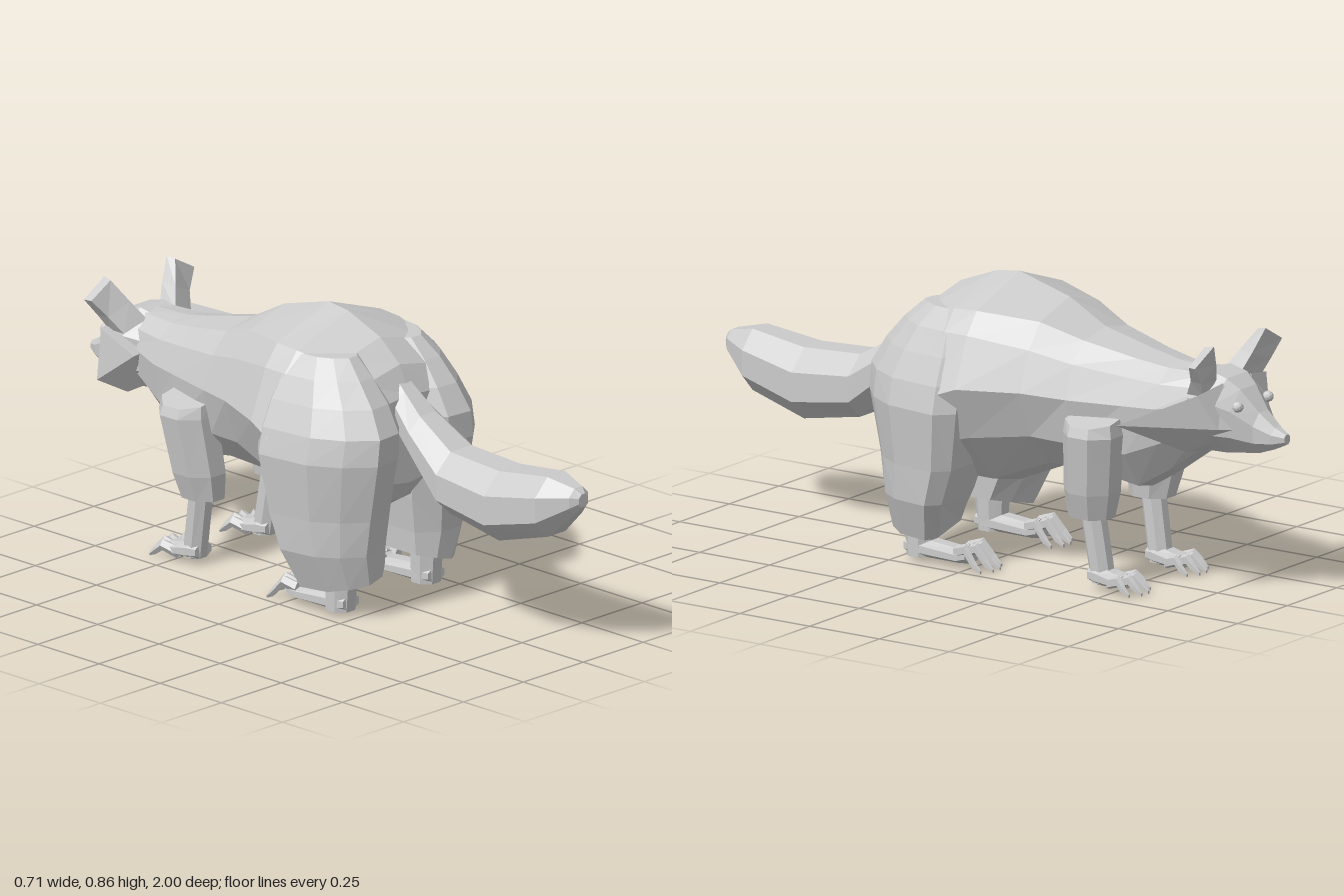
import * as THREE from 'three';

const material = new THREE.MeshStandardMaterial({ color: 0xcccccc, flatShading: true });

// Skin a list of equal-sized point rings, cap both ends, and face it outwards
function loft(name, rings) {
  const n = rings[0].length, tris = [];
  for (let i = 0; i < rings.length - 1; i++) {
    for (let j = 0; j < n; j++) {
      const k = (j + 1) % n;
      const a = rings[i][j], b = rings[i][k], c = rings[i + 1][k], d = rings[i + 1][j];
      tris.push([a, b, c], [a, c, d]);
    }
  }
  const centre = r => r.reduce((s, p) => s.add(p), new THREE.Vector3()).divideScalar(n);
  const first = rings[0], last = rings[rings.length - 1];
  const c0 = centre(first), c1 = centre(last);
  for (let j = 0; j < n; j++) {
    const k = (j + 1) % n;
    tris.push([c0, first[k], first[j]], [c1, last[j], last[k]]);
  }
  let volume = 0;
  for (const [a, b, c] of tris) volume += a.dot(b.clone().cross(c));
  const points = tris.flatMap(([a, b, c]) => (volume < 0 ? [a, c, b] : [a, b, c]));
  const geometry = new THREE.BufferGeometry().setFromPoints(points);
  geometry.computeVertexNormals();
  const mesh = new THREE.Mesh(geometry, material);
  mesh.name = name;
  return mesh;
}

// Flat-sided polygon filling the rectangle u0..u1 by v0..v1
function polygon(u0, u1, v0, v1, n, place) {
  return Array.from({ length: n }, (_, i) => {
    const a = ((i + 0.5) / n) * Math.PI * 2, s = 0.5 / Math.cos(Math.PI / n);
    return place((u0 + u1) / 2 + Math.cos(a) * s * (u1 - u0), (v0 + v1) / 2 + Math.sin(a) * s * (v1 - v0));
  });
}
const V = (x, y, z) => new THREE.Vector3(x, y, z);

// Upright ring at z: top, bottom, half width
const ringZ = ([z, top, bottom, w, cx = 0], n = 8) => polygon(cx - w, cx + w, bottom, top, n, (x, y) => V(x, y, z));

// Level ring at y: inner x, outer x, front z, back z, optional drop towards the outside
const ringY = ([y, x0, x1, z0, z1, drop = 0], side) =>
  polygon(x0, x1, z0, z1, 8, (x, z) => V(side * x, y - (drop * (x - x0)) / (x1 - x0), z));

// Haunch plan as fractions: 0 inner to 1 outer, 0 front to 1 back
const haunchPlan = [[1, 0.13], [0.93, 0.58], [0.76, 0.82], [0.52, 1], [0.24, 0.98], [0, 0.8], [0, 0.15], [0.3, 0], [0.85, 0]];
const ringHaunch = ([y, x0, x1, z0, z1, drop = 0], side) =>
  haunchPlan.map(([u, v]) => V(side * (x0 + u * (x1 - x0)), y - drop * u, z0 + v * (z1 - z0)));

// Half outline from spine to belly, mirrored into a full ring
function bodyRing([z, ...half]) {
  const right = half.map(([x, y]) => V(x, y, z));
  const left = half.slice(1, -1).reverse().map(([x, y]) => V(-x, y, z));
  return [...right, ...left];
}

// Foot with four arched, spread toes; runs towards -z
function foot(name, cx, heel, ball, tip, hump) {
  const group = new THREE.Group();
  group.name = name;
  group.add(loft('sole', [
    [heel, 0.07, 0.025, 0.034, cx], [heel - 0.03, 0.075, 0.018, 0.044, cx],
    [ball + 0.03, 0.06, 0.018, 0.047, cx], [ball, hump, 0.022, 0.042, cx],
  ].map(s => ringZ(s))));
  for (let i = -1.5; i <= 1.5; i++) {
    const short = Math.abs(i) > 1 ? 0.02 : 0;
    const path = [
      [ball + 0.02 + short, hump - 0.008, 0.013, 0.02], [ball - 0.025 + short, hump + 0.006, 0.012, 0.029],
      [tip + 0.025 + short, 0.042, 0.01, 0.034], [tip + short, 0.016, 0.004, 0.035],
    ];
    group.add(loft('toe', path.map(([z, top, r, spread]) =>
      ringZ([z, top, Math.max(0.003, top - 2.4 * r), r, cx + i * spread], 5))));
  }
  return group;
}

export function createModel() {
  const model = new THREE.Group();
  model.name = 'animal';

  // Trunk from neck to rump
  model.add(loft('body', [
    [-0.76, [0, 0.685], [0.05, 0.68], [0.085, 0.64], [0.1, 0.59], [0.09, 0.52], [0.045, 0.47], [0, 0.455]],
    [-0.62, [0, 0.69], [0.065, 0.68], [0.115, 0.64], [0.14, 0.57], [0.125, 0.46], [0.06, 0.37], [0, 0.355]],
    [-0.52, [0, 0.71], [0.08, 0.695], [0.135, 0.65], [0.165, 0.57], [0.15, 0.42], [0.075, 0.31], [0, 0.295]],
    [-0.35, [0, 0.75], [0.11, 0.73], [0.17, 0.67], [0.205, 0.57], [0.175, 0.43], [0.09, 0.34], [0, 0.325]],
    [-0.22, [0, 0.82], [0.15, 0.775], [0.205, 0.7], [0.25, 0.58], [0.2, 0.44], [0.1, 0.34], [0, 0.315]],
    [-0.04, [0, 0.87], [0.215, 0.795], [0.265, 0.73], [0.325, 0.58], [0.26, 0.42], [0.13, 0.27], [0, 0.24]],
    [0.04, [0, 0.86], [0.215, 0.79], [0.265, 0.73], [0.342, 0.55], [0.28, 0.4], [0.13, 0.27], [0, 0.235]],
    [0.17, [0, 0.81], [0.185, 0.765], [0.245, 0.7], [0.315, 0.55], [0.28, 0.4], [0.12, 0.3], [0, 0.28]],
    [0.25, [0, 0.745], [0.15, 0.715], [0.205, 0.65], [0.255, 0.54], [0.22, 0.42], [0.1, 0.34], [0, 0.33]],
    [0.29, [0, 0.66], [0.12, 0.65], [0.16, 0.6], [0.19, 0.53], [0.16, 0.45], [0.07, 0.4], [0, 0.39]],
  ].map(bodyRing)));

  // Bushy tail
  model.add(loft('tail', [
    [0.18, 0.77, 0.58, 0.03], [0.29, 0.68, 0.53, 0.06], [0.365, 0.62, 0.48, 0.08],
    [0.5, 0.545, 0.355, 0.105], [0.7, 0.535, 0.32, 0.11], [0.89, 0.56, 0.375, 0.09],
    [0.98, 0.54, 0.46, 0.04], [1, 0.525, 0.485, 0.018],
  ].map(s => ringZ(s))));

  // Head with tapering snout
  model.add(loft('head', [
    [-0.68, 0.67, 0.45, 0.09], [-0.76, 0.69, 0.45, 0.125], [-0.82, 0.675, 0.452, 0.125],
    [-0.86, 0.645, 0.455, 0.095], [-0.915, 0.58, 0.458, 0.055], [-0.965, 0.54, 0.475, 0.034],
    [-1, 0.522, 0.492, 0.015],
  ].map(s => ringZ(s))));

  for (const side of [1, -1]) {
    const label = side > 0 ? 'left' : 'right';
    const P = (x, y, z) => V(side * x, y, z);

    // Broad cheek ruff drawn out to a point
    const ruffTip = P(0.355, 0.57, -0.64);
    model.add(loft(label + 'CheekRuff', [
      [P(0.07, 0.665, -0.82), P(0.05, 0.53, -0.89), P(0.05, 0.45, -0.75), P(0.07, 0.58, -0.7)],
      [P(0.175, 0.645, -0.8), P(0.13, 0.54, -0.845), P(0.13, 0.455, -0.735), P(0.14, 0.575, -0.7)],
      [ruffTip, ruffTip, ruffTip, ruffTip],
    ]));

    // Blunt, outward-leaning ear
    model.add(loft(label + 'Ear', [
      [P(0.06, 0.665, -0.79), P(0.14, 0.635, -0.8), P(0.14, 0.635, -0.74), P(0.06, 0.665, -0.725)],
      [P(0.09, 0.72, -0.81), P(0.175, 0.685, -0.815), P(0.17, 0.685, -0.775), P(0.095, 0.72, -0.76)],
      [P(0.13, 0.79, -0.83), P(0.22, 0.74, -0.825), P(0.215, 0.74, -0.8), P(0.135, 0.785, -0.8)],
    ]));

    const eye = new THREE.Mesh(new THREE.IcosahedronGeometry(0.017, 1), material);
    eye.name = label + 'Eye';
    eye.position.set(side * 0.076, 0.603, -0.877);
    model.add(eye);

    // Heavy haunch blending into the rump, ankle and hind foot
    model.add(loft(label + 'Haunch', [
      [0.14, 0.065, 0.27, 0.08, 0.295, 0.05], [0.21, 0.06, 0.32, 0.04, 0.305],
      [0.32, 0.045, 0.332, 0, 0.32], [0.5, 0.03, 0.355, -0.03, 0.355],
      [0.58, 0.03, 0.337, -0.03, 0.355], [0.66, 0.04, 0.302, -0.02, 0.31],
      [0.73, 0.06, 0.265, 0, 0.25], [0.785, 0.08, 0.215, 0.01, 0.19],
    ].map(s => ringHaunch(s, side))));
    model.add(loft(label + 'Ankle', [
      [0.02, 0.135, 0.222, 0.14, 0.225], [0.14, 0.13, 0.226, 0.135, 0.235],
    ].map(s => ringY(s, side))));
    model.add(foot(label + 'HindFoot', side * 0.178, 0.225, 0, -0.085, 0.078));

    // Front leg leaning inwards: thick upper part, slim shin, foot
    model.add(loft(label + 'UpperFrontLeg', [
      [0.22, 0.095, 0.21, -0.475, -0.34], [0.3, 0.085, 0.235, -0.495, -0.335],
      [0.48, 0.1, 0.265, -0.522, -0.35], [0.54, 0.11, 0.255, -0.515, -0.355, 0.03],
    ].map(s => ringY(s, side))));
    model.add(loft(label + 'FrontShin', [
      [0.025, 0.11, 0.18, -0.48, -0.41], [0.25, 0.115, 0.189, -0.445, -0.375],
    ].map(s => ringY(s, side))));
    model.add(foot(label + 'FrontFoot', side * 0.146, -0.41, -0.525, -0.595, 0.056));
  }
  return model;
}
